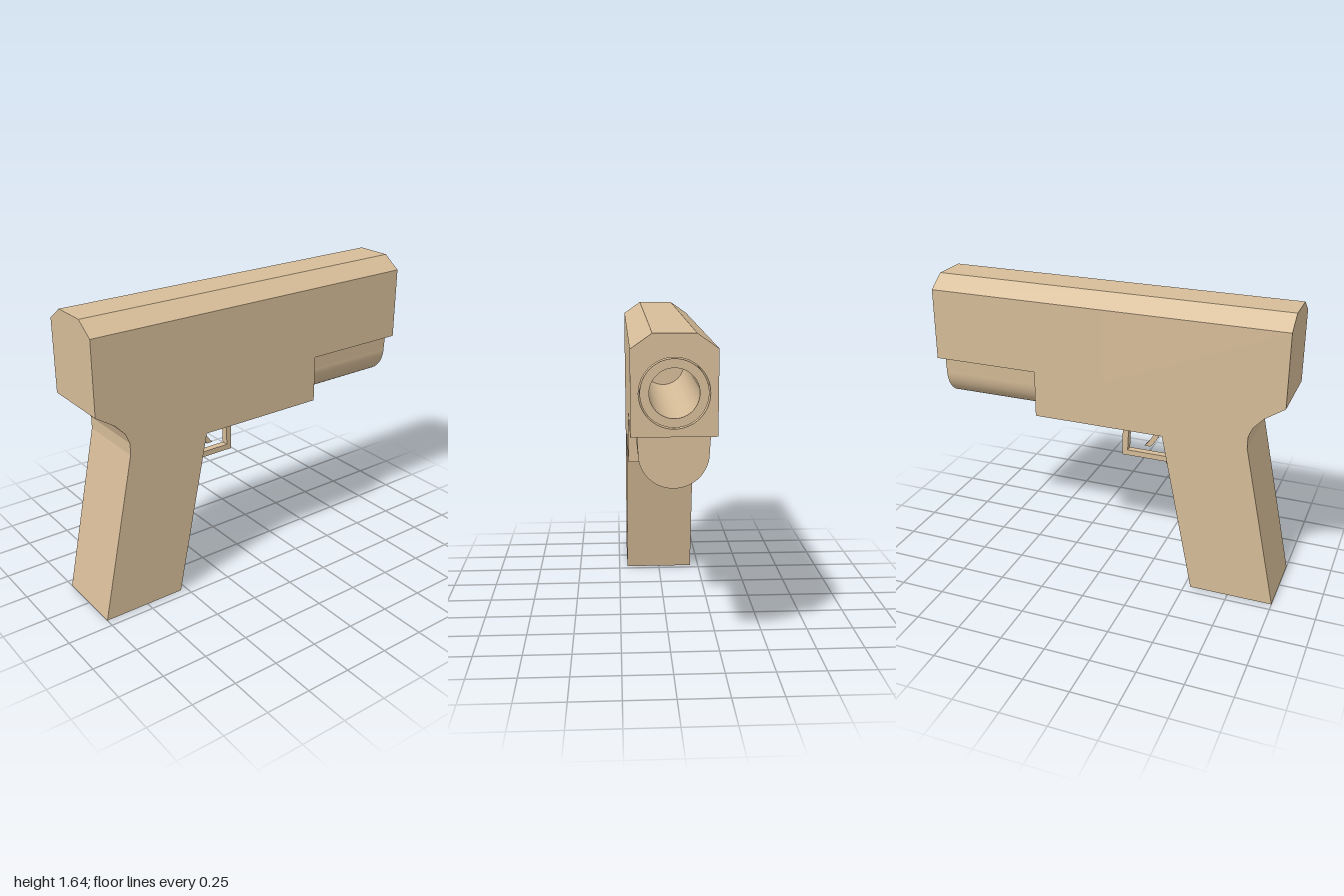
import * as THREE from 'three';

export function createModel() {
  const model = new THREE.Group();
  const tan = new THREE.MeshStandardMaterial({ color: 0xd6bc98 });
  tan.name = 'tan';

  const shapeOf = (pts) => new THREE.Shape(pts.map(([x, y]) => new THREE.Vector2(x, y)));
  const add = (name, geometry) => {
    const mesh = new THREE.Mesh(geometry, tan);
    mesh.name = name;
    model.add(mesh);
  };
  // Side profile (x, y) given a width centred on z = 0
  const sideways = (name, shape, width) => {
    const g = new THREE.ExtrudeGeometry(shape, { depth: width, bevelEnabled: false, curveSegments: 12 });
    add(name, g.translate(0, 0, -width / 2));
  };
  // Symmetric cross-section (z, y) run along x
  const lengthways = (name, shape, x0, x1) => {
    const g = new THREE.ExtrudeGeometry(shape, { depth: x1 - x0, bevelEnabled: false, curveSegments: 32 });
    add(name, g.rotateY(Math.PI / 2).translate(x0, 0, 0));
  };
  const circle = (Kind, r) => new Kind().absarc(0, 1.37, r, 0, Math.PI * 2);

  // Slide: solid rear, bored front
  const section = () => shapeOf([[-0.2, 1.17], [0.2, 1.17], [0.2, 1.57], [0.1, 1.64], [-0.1, 1.64], [-0.2, 1.57]]);
  const bored = section();
  bored.holes.push(circle(THREE.Path, 0.163));
  lengthways('slideRear', section(), -0.99, 0);
  lengthways('slideFront', bored, 0, 1);

  // Barrel ring inside the slide
  const ring = circle(THREE.Shape, 0.157);
  ring.holes.push(circle(THREE.Path, 0.115));
  lengthways('barrel', ring, 0, 0.998);

  // Frame and raked grip
  sideways('frameAndGrip', shapeOf([
    [-1, 0], [-0.535, 0], [-0.345, 0.91], [0.395, 0.91], [0.395, 1.17], [-0.99, 1.17],
    [-0.885, 1.1], [-0.83, 1.04], [-0.808, 0.985], [-0.808, 0.92],
  ]), 0.4);

  // Rounded housing under the muzzle
  const housing = new THREE.Shape();
  housing.moveTo(0.17, 1.17);
  housing.lineTo(-0.17, 1.17);
  housing.lineTo(-0.165, 1.085);
  housing.absarc(0, 1.085, 0.165, Math.PI, Math.PI * 2);
  housing.closePath();
  lengthways('underBarrelHousing', housing, 0.395, 0.967);

  // Trigger guard with its flared rear foot
  sideways('triggerGuard', shapeOf([
    [-0.39, 0.668], [-0.055, 0.668], [-0.055, 0.912], [-0.105, 0.912], [-0.092, 0.88],
    [-0.085, 0.7], [-0.39, 0.7],
  ]), 0.04);
  sideways('guardFoot', shapeOf([[-0.4, 0.668], [-0.32, 0.668], [-0.325, 0.705], [-0.365, 0.742], [-0.385, 0.70]]), 0.08);

  // Curved trigger
  const trigger = new THREE.Shape();
  trigger.moveTo(-0.298, 0.912);
  trigger.quadraticCurveTo(-0.283, 0.81, -0.22, 0.745);
  trigger.lineTo(-0.185, 0.745);
  trigger.quadraticCurveTo(-0.255, 0.82, -0.262, 0.912);
  trigger.closePath();
  sideways('trigger', trigger, 0.04);

  return model;
}
